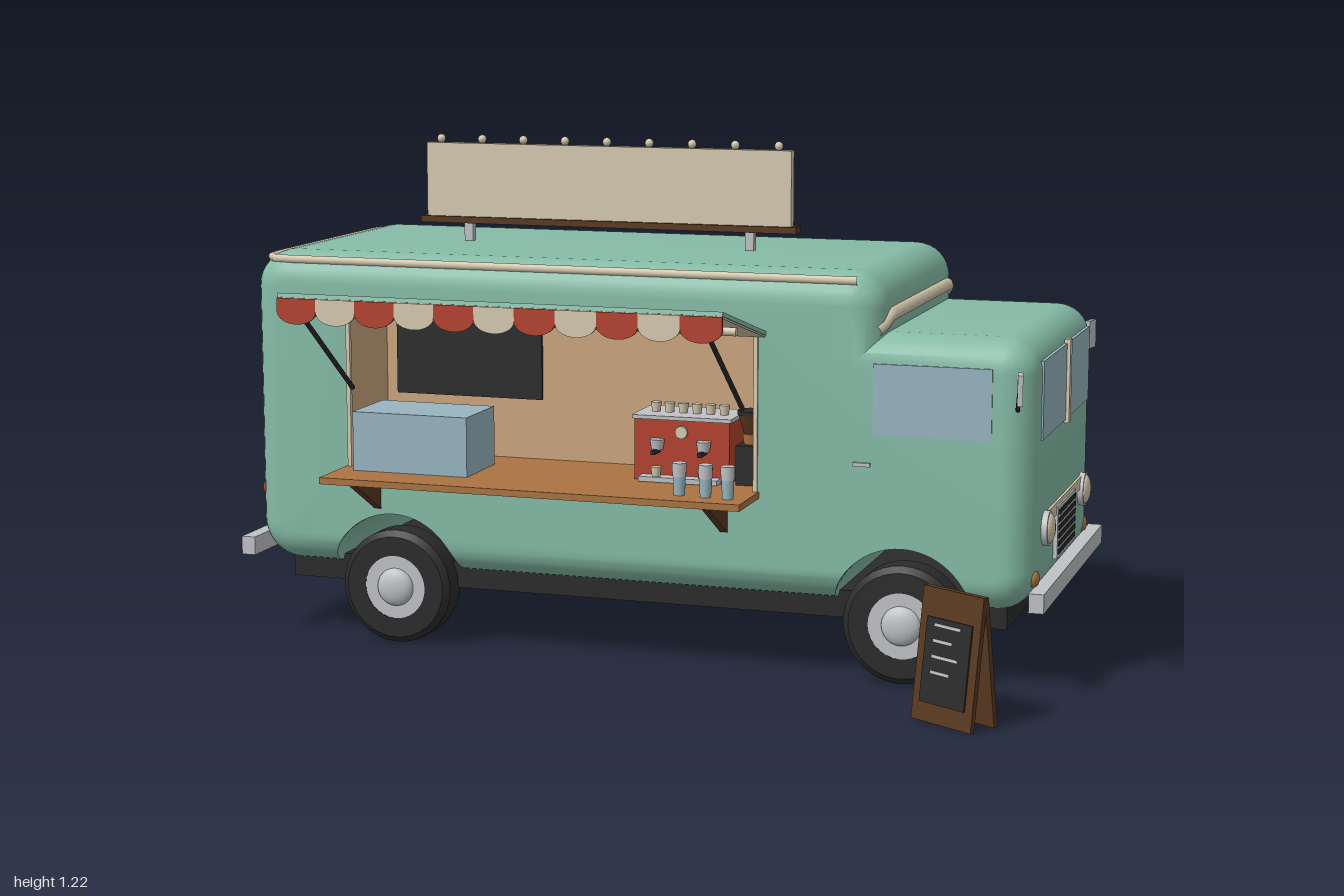
import * as THREE from 'three';
import { toCreasedNormals } from 'three/addons/utils/BufferGeometryUtils.js';

const mat = (name, color) => Object.assign(new THREE.MeshStandardMaterial({ color }), { name });
const V = (x, y, z) => new THREE.Vector3(x, y, z);
const MID = -0.125; // centre line of the van in z
const HALF = 0.385; // half width of the van

export function createModel() {
  const green = mat('mint paint', 0x86bca7), cream = mat('cream', 0xd6cab0), red = mat('red', 0xb5422f);
  const dark = mat('charcoal', 0x2b2b2b), brown = mat('dark wood', 0x59381f), wood = mat('light wood', 0xab7442);
  const tan = mat('interior tan', 0xcba57e), glass = mat('pale blue', 0x98b5c1), metal = mat('light metal', 0xc0c2c5);
  const root = new THREE.Group();
  root.name = 'foodTruck';

  const add = (name, geo, material, x = 0, y = 0, z = 0, parent = root) => {
    const m = new THREE.Mesh(geo, material);
    m.name = name;
    m.position.set(x, y, z);
    parent.add(m);
    return m;
  };
  // box from its extents on each axis
  const box = (name, material, x0, x1, y0, y1, z0, z1, parent = root) =>
    add(name, new THREE.BoxGeometry(x1 - x0, y1 - y0, z1 - z0), material, (x0 + x1) / 2, (y0 + y1) / 2, (z0 + z1) / 2, parent);
  const rod = (name, material, a, b, r) => {
    const m = add(name, new THREE.CylinderGeometry(r, r, a.distanceTo(b), 10), material);
    m.position.copy(a).lerp(b, 0.5);
    m.quaternion.setFromUnitVectors(V(0, 1, 0), b.clone().sub(a).normalize());
    return m;
  };
  const can = (name, material, rTop, rBottom, y0, y1, x, z) =>
    add(name, new THREE.CylinderGeometry(rTop, rBottom, y1 - y0, 16), material, x, (y0 + y1) / 2, z);
  const tube = (name, material, pts, r) =>
    add(name, new THREE.TubeGeometry(new THREE.CatmullRomCurve3(pts, false, 'catmullrom', 0.1), 80, r, 8), material);

  // --- Body shell: side outline with wheel arches, rounded towards both sides
  const arches = [-0.6, 0.665];
  function outline(d) {
    const p = [];
    const corner = (x, y, r, sx, sy, a0) => {
      for (let i = 0; i <= 8; i++) {
        const a = a0 + (i / 8) * Math.PI / 2;
        p.push(new THREE.Vector2(x - sx * r + (r - d) * Math.cos(a), y - sy * r + (r - d) * Math.sin(a)));
      }
    };
    corner(-0.97, 0.185, 0.1, -1, -1, Math.PI);
    for (const cx of arches) {
      const R = 0.168, a = Math.asin((0.03 + d) / R);
      for (let i = 0; i <= 20; i++) {
        const t = Math.PI - a - (i / 20) * (Math.PI - 2 * a);
        p.push(new THREE.Vector2(cx + R * Math.cos(t), 0.155 + R * Math.sin(t)));
      }
    }
    corner(0.968, 0.185, 0.09, 1, -1, -Math.PI / 2);
    corner(0.968, 0.815, 0.08, 1, 1, 0);
    p.push(new THREE.Vector2(0.614 - d, 0.815 - d));
    corner(0.614, 0.955, 0.085, 1, 1, 0);
    corner(-0.97, 0.955, 0.09, -1, 1, Math.PI / 2);
    return p;
  }
  const bevel = 0.075, pos = [], idx = [], rings = [];
  for (let i = 0; i <= 7; i++) {
    const a = (i / 7) * Math.PI / 2;
    rings.push([MID - HALF + bevel * (1 - Math.sin(a)), bevel * (1 - Math.cos(a))]);
  }
  rings.reverse();
  rings.sort((a, b) => a[0] - b[0]);
  rings.push(...rings.map(([z, d]) => [2 * MID - z, d]).reverse());
  const loops = rings.map(([z, d]) => {
    const p = outline(d);
    p.forEach(v => pos.push(v.x, v.y, z));
    return p;
  });
  const n = loops[0].length;
  for (let k = 0; k < rings.length - 1; k++) for (let i = 0; i < n; i++) {
    const j = (i + 1) % n, a = k * n + i, b = k * n + j;
    idx.push(a, b, b + n, a, b + n, a + n);
  }
  THREE.ShapeUtils.triangulateShape(loops[0], []).forEach(([a, b, c]) => idx.push(a, c, b));
  // serving side has an opening
  const hatch = [[-0.71, 0.435], [-0.71, 0.8], [0.32, 0.8], [0.32, 0.435]].map(q => new THREE.Vector2(...q));
  const first = (rings.length - 1) * n;
  hatch.forEach(v => pos.push(v.x, v.y, MID + HALF));
  THREE.ShapeUtils.triangulateShape(loops[rings.length - 1], [hatch]).forEach(t => idx.push(...t.map(i => i + first)));
  const shell = new THREE.BufferGeometry();
  shell.setAttribute('position', new THREE.Float32BufferAttribute(pos, 3));
  shell.setIndex(idx);
  add('bodyShell', toCreasedNormals(shell, 0.6), green);

  // --- Chassis and bumpers
  box('chassis', dark, -0.9, 0.9, 0.135, 0.2, -0.44, 0.19);
  box('frontBumper', metal, 0.965, 1, 0.2, 0.245, -0.525, 0.278);
  box('rearBumper', metal, -1, -0.965, 0.2, 0.245, -0.525, 0.278);

  // --- Wheels
  const tyre = [[0.07, -0.045], [0.125, -0.045], [0.14, -0.032], [0.14, 0.032], [0.125, 0.045], [0.078, 0.045]];
  const tyreGeo = toCreasedNormals(new THREE.LatheGeometry(tyre.map(q => new THREE.Vector2(...q)), 36), 0.6).rotateX(Math.PI / 2);
  for (const x of arches) for (const s of [1, -1]) {
    const w = new THREE.Group();
    w.name = 'wheel';
    w.position.set(x, 0.14, MID + s * 0.335);
    if (s < 0) w.rotation.y = Math.PI;
    root.add(w);
    add('tyre', tyreGeo, dark, 0, 0, 0, w);
    add('rim', new THREE.CylinderGeometry(0.079, 0.079, 0.084, 28).rotateX(Math.PI / 2), metal, 0, 0, 0, w);
    add('hubCap', new THREE.SphereGeometry(0.047, 20, 12).scale(1, 1, 0.45), metal, 0, 0, 0.042, w);
  }

  // --- Interior
  box('backWall', tan, -0.72, 0.33, 0.42, 0.81, 0.02, 0.03);
  box('ceiling', tan, -0.72, 0.33, 0.8, 0.81, 0.03, 0.257);
  for (const x of [-0.72, 0.32]) box('sideWall', tan, x, x + 0.01, 0.42, 0.81, 0.03, 0.257);
  box('menuBoard', dark, -0.68, -0.295, 0.585, 0.785, 0.03, 0.038);
  box('counter', wood, -0.72, 0.325, 0.42, 0.436, 0.03, 0.42);
  for (const x of [-0.64, 0.24]) {
    const tri = new THREE.Shape([[0, 0], [-0.15, 0], [0, -0.085]].map(q => new THREE.Vector2(...q)));
    const g = new THREE.ExtrudeGeometry(tri, { depth: 0.018, bevelEnabled: false });
    add('counterBracket', g.rotateY(Math.PI / 2), brown, x - 0.009, 0.42, 0.26);
  }
  for (const x of [-0.715, 0.312]) box('hatchFrame', cream, x, x + 0.01, 0.436, 0.8, 0.255, 0.266);

  // --- Things on the counter
  box('displayCase', glass, -0.68, -0.385, 0.436, 0.58, 0.13, 0.31);
  box('coffeeMachine', red, 0, 0.235, 0.436, 0.585, 0.06, 0.2);
  box('machineTop', metal, -0.005, 0.24, 0.583, 0.592, 0.055, 0.205);
  box('dripTray', metal, 0.02, 0.215, 0.438, 0.45, 0.2, 0.235);
  add('gauge', new THREE.CylinderGeometry(0.015, 0.015, 0.01, 16).rotateX(Math.PI / 2), cream, 0.118, 0.555, 0.202);
  for (const x of [0.06, 0.175]) {
    add('brewHead', new THREE.CylinderGeometry(0.018, 0.014, 0.025, 14), metal, x, 0.525, 0.21);
    box('brewHandle', dark, x - 0.005, x + 0.005, 0.505, 0.515, 0.2, 0.245);
    can('espressoCup', cream, 0.013, 0.01, 0.45, 0.473, x, 0.218);
  }
  for (let i = 0; i < 6; i++) can('stackedCup', cream, 0.013, 0.01, 0.592, 0.615, 0.035 + i * 0.034, 0.14);
  box('grinderBase', dark, 0.25, 0.305, 0.436, 0.53, 0.12, 0.2);
  can('grinderNeck', wood, 0.022, 0.018, 0.53, 0.555, 0.278, 0.16);
  can('grinderHopper', brown, 0.032, 0.018, 0.555, 0.6, 0.278, 0.16);
  can('hopperLid', dark, 0.034, 0.034, 0.6, 0.61, 0.278, 0.16);
  for (const [x, z] of [[0.16, 0.35], [0.225, 0.355], [0.28, 0.36]]) {
    can('takeawayCup', glass, 0.015, 0.013, 0.436, 0.48, x, z);
    can('cupLid', metal, 0.017, 0.016, 0.48, 0.512, x, z);
  }

  // --- Awning with scalloped edge
  const awning = new THREE.Group();
  awning.name = 'awning';
  awning.position.set(-0.195, 0.802, 0.255);
  awning.rotation.x = -Math.atan2(0.09, 0.35);
  root.add(awning);
  box('awningTop', green, -0.535, 0.535, 0, 0.01, 0, 0.36, awning);
  box('awningLining', cream, -0.533, 0.533, -0.004, 0, 0, 0.358, awning);
  const step = 1.07 / 11;
  for (let i = 0; i < 11; i++) {
    const s = new THREE.Shape();
    s.moveTo(step / 2, 0.03).lineTo(-step / 2, 0.03).lineTo(-step / 2, 0);
    s.absellipse(0, 0, step / 2, 0.03, Math.PI, Math.PI * 2);
    const g = new THREE.ExtrudeGeometry(s, { depth: 0.006, bevelEnabled: false, curveSegments: 12 });
    add('scallop', g, i % 2 ? cream : red, -0.73 + step * (i + 0.5), 0.86, 0.6);
  }
  rod('awningRod', cream, V(-0.73, 0.856, 0.582), V(0.366, 0.856, 0.582), 0.01);
  for (const x of [-0.7, 0.285]) rod('awningStrut', dark, V(x, 0.63, 0.262), V(x, 0.87, 0.575), 0.006);

  // --- Roof sign with bulbs
  box('signPanel', cream, -0.655, 0.295, 1.012, 1.2, -0.135, -0.11);
  box('signBase', brown, -0.67, 0.31, 1, 1.016, -0.145, -0.1);
  for (const x of [-0.545, 0.19]) box('signPost', metal, x - 0.011, x + 0.011, 0.945, 1, -0.133, -0.112);
  for (let i = 0; i < 9; i++) add('bulb', new THREE.SphereGeometry(0.011, 10, 8), cream, -0.62 + i * 0.11, 1.21, -0.1225);

  // --- Cream trim
  const rail = [[0.55, 0.24], [-0.87, 0.24], [-0.92, 0.225], [-0.943, 0.18]];
  const half = rail.map(([x, z]) => V(x, 0.935, z));
  tube('roofTrim', cream, [...half, ...half.map(v => V(v.x, v.y, 2 * MID - v.z)).reverse()], 0.01);
  const brow = [V(0.59, 0.82, 0.225), V(0.603, 0.835, 0.2), V(0.612, 0.853, 0.17)];
  tube('browTrim', cream, [...brow, ...brow.map(v => V(v.x, v.y, 2 * MID - v.z)).reverse()], 0.017);

  // --- Cab front
  box('windshield', glass, 0.964, 0.972, 0.58, 0.762, MID - 0.305, MID + 0.305);
  box('windshieldBar', cream, 0.965, 0.98, 0.572, 0.772, MID - 0.012, MID + 0.012);
  box('noseBand', cream, 0.965, 0.974, 0.37, 0.4, MID - 0.24, MID + 0.24);
  box('grilleFrame', metal, 0.965, 0.978, 0.265, 0.39, MID - 0.12, MID + 0.12);
  for (let i = 0; i < 6; i++) box('grilleSlot', dark, 0.977, 0.981, 0.275 + i * 0.019, 0.286 + i * 0.019, MID - 0.11, MID + 0.11);
  for (const s of [1, -1]) {
    const disc = (r, w) => new THREE.CylinderGeometry(r, r, w, 24).rotateZ(Math.PI / 2);
    add('headlightRing', disc(0.041, 0.02), metal, 0.972, 0.365, MID + s * 0.243);
    add('headlight', new THREE.SphereGeometry(0.036, 18, 12).scale(0.4, 1, 1), cream, 0.98, 0.365, MID + s * 0.243);
    add('turnSignal', new THREE.SphereGeometry(0.021, 14, 10).scale(0.7, 1, 1), wood, 0.96, 0.262, MID + s * 0.322);
    add('tailLight', new THREE.SphereGeometry(0.024, 14, 10).scale(0.6, 1, 1), red, -0.966, 0.355, MID + s * 0.31);
    // side glass, door handle and mirror
    const side = MID + s * HALF;
    box('cabSideWindow', glass, 0.595, 0.87, 0.585, 0.75, side - 0.003, side + 0.003);
    box('doorHandle', metal, 0.55, 0.59, 0.511, 0.52, side - 0.008, side + 0.008);
    rod('mirrorArm', dark, V(0.925, 0.655, MID + s * 0.37), V(0.945, 0.71, MID + s * 0.46), 0.005);
    const head = box('mirrorHead', metal, 0.942, 0.954, 0.685, 0.755, MID + s * 0.466 - 0.022, MID + s * 0.466 + 0.022);
    head.rotation.y = s * 0.2;
    // rear door window
    box('rearWindow', glass, -0.974, -0.967, 0.665, 0.805, MID + s * 0.15 - 0.105, MID + s * 0.15 + 0.105);
  }

  // --- Rear doors
  box('rearDoorSeam', dark, -0.973, -0.968, 0.26, 0.85, MID - 0.004, MID + 0.004);
  box('rearUpperTrim', cream, -0.975, -0.962, 0.828, 0.858, MID - 0.29, MID + 0.29);
  box('rearLowerTrim', cream, -0.975, -0.967, 0.36, 0.38, MID - 0.29, MID + 0.29);

  // --- Pavement sign: two leaning boards
  const stand = new THREE.Group();
  stand.name = 'pavementSign';
  stand.position.set(0.85, 0, 0.52);
  stand.rotation.y = -Math.PI / 6;
  root.add(stand);
  for (const s of [0, 1]) {
    const turn = new THREE.Group(), leaf = new THREE.Group();
    turn.name = 'signSide';
    leaf.name = 'signLeaf';
    turn.rotation.y = s * Math.PI;
    leaf.position.z = 0.045;
    leaf.rotation.x = -0.125;
    stand.add(turn);
    turn.add(leaf);
    box('woodPanel', brown, -0.088, 0.088, 0.002, 0.3, -0.012, 0, leaf);
    box('chalkboard', dark, -0.066, 0.066, 0.045, 0.235, 0, 0.004, leaf);
    for (let i = 0; i < 4; i++) box('chalkLine', metal, -0.04, 0.015 + 0.02 * (i % 2), 0.112 + i * 0.035, 0.118 + i * 0.035, 0.004, 0.006, leaf);
  }
  return root;
}
